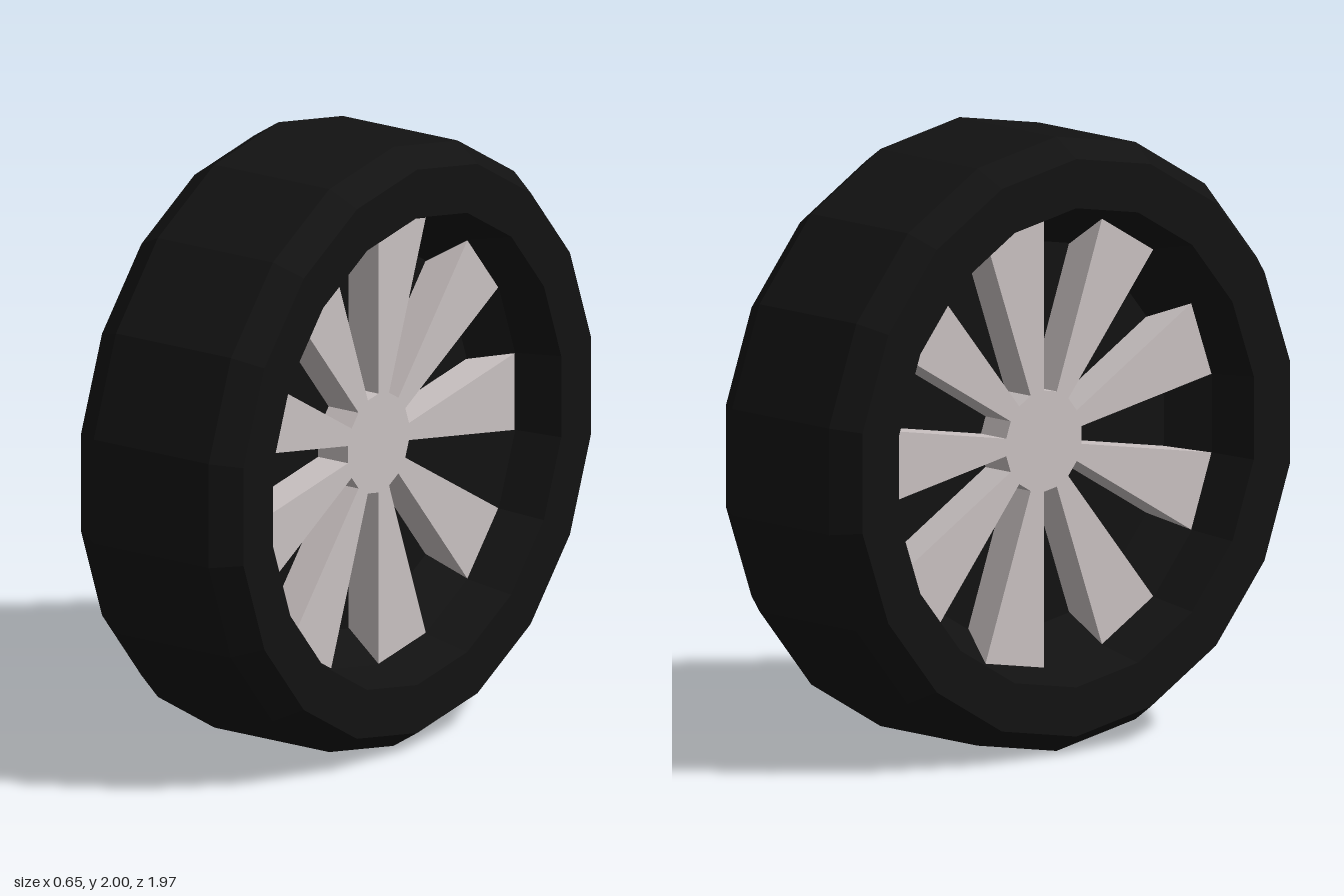
import * as THREE from 'three';
import { ConvexGeometry } from 'three/addons/geometries/ConvexGeometry.js';

const SIDES = 18;
const STEP = (Math.PI * 2) / SIDES;
const FACE_X = 0.17;  // outer plane of spokes and hub
const DISC_X = 0.05;  // plane of the recessed disc
const HUB_R = 0.165;

export function createModel() {
  const wheel = new THREE.Group();
  wheel.name = 'wheel';
  const rubber = new THREE.MeshStandardMaterial({ color: 0x121212, flatShading: true });
  const metal = new THREE.MeshStandardMaterial({ color: 0xc8c0c0, flatShading: true });

  const add = (name, geometry, material, parent = wheel) => {
    const mesh = new THREE.Mesh(geometry, material);
    mesh.name = name;
    parent.add(mesh);
  };

  // Tyre with recessed disc: half profile [radius, x], mirrored across x = 0
  const half = [[1, 0.23], [0.94, 0.325], [0.78, 0.325], [0.74, FACE_X], [0.64, DISC_X], [0, DISC_X]];
  const profile = [
    ...half.slice().reverse().map(([r, x]) => new THREE.Vector2(r, -x)),
    ...half.map(([r, x]) => new THREE.Vector2(r, x)),
  ];
  const tyre = new THREE.LatheGeometry(profile, SIDES, Math.PI / 2);
  tyre.rotateZ(-Math.PI / 2);
  add('tyre', tyre, rubber);

  // Hub through the middle
  const hub = new THREE.CylinderGeometry(HUB_R, HUB_R, FACE_X * 2, SIDES, 1, false, Math.PI / 2);
  hub.rotateZ(-Math.PI / 2);
  add('hub', hub, metal);

  // Nine wedge spokes on each side, tapering inwards along the recess
  const point = (x, r, a) => new THREE.Vector3(x, r * Math.cos(a), -r * Math.sin(a));
  for (const side of [1, -1]) {
    const spokes = new THREE.Group();
    spokes.name = side > 0 ? 'leftSpokes' : 'rightSpokes';
    wheel.add(spokes);
    for (let i = 0; i < SIDES; i += 2) {
      const corners = [];
      for (const a of [i * STEP, (i + 1) * STEP]) {
        corners.push(
          point(side * FACE_X, HUB_R, a), point(side * FACE_X, 0.737, a),
          point(side * DISC_X, HUB_R, a), point(side * DISC_X, 0.637, a),
        );
      }
      add('spoke', new ConvexGeometry(corners), metal, spokes);
    }
  }

  // Stand on the ground
  const root = new THREE.Group();
  root.name = 'wheelModel';
  wheel.position.y = 1;
  root.add(wheel);
  return root;
}
